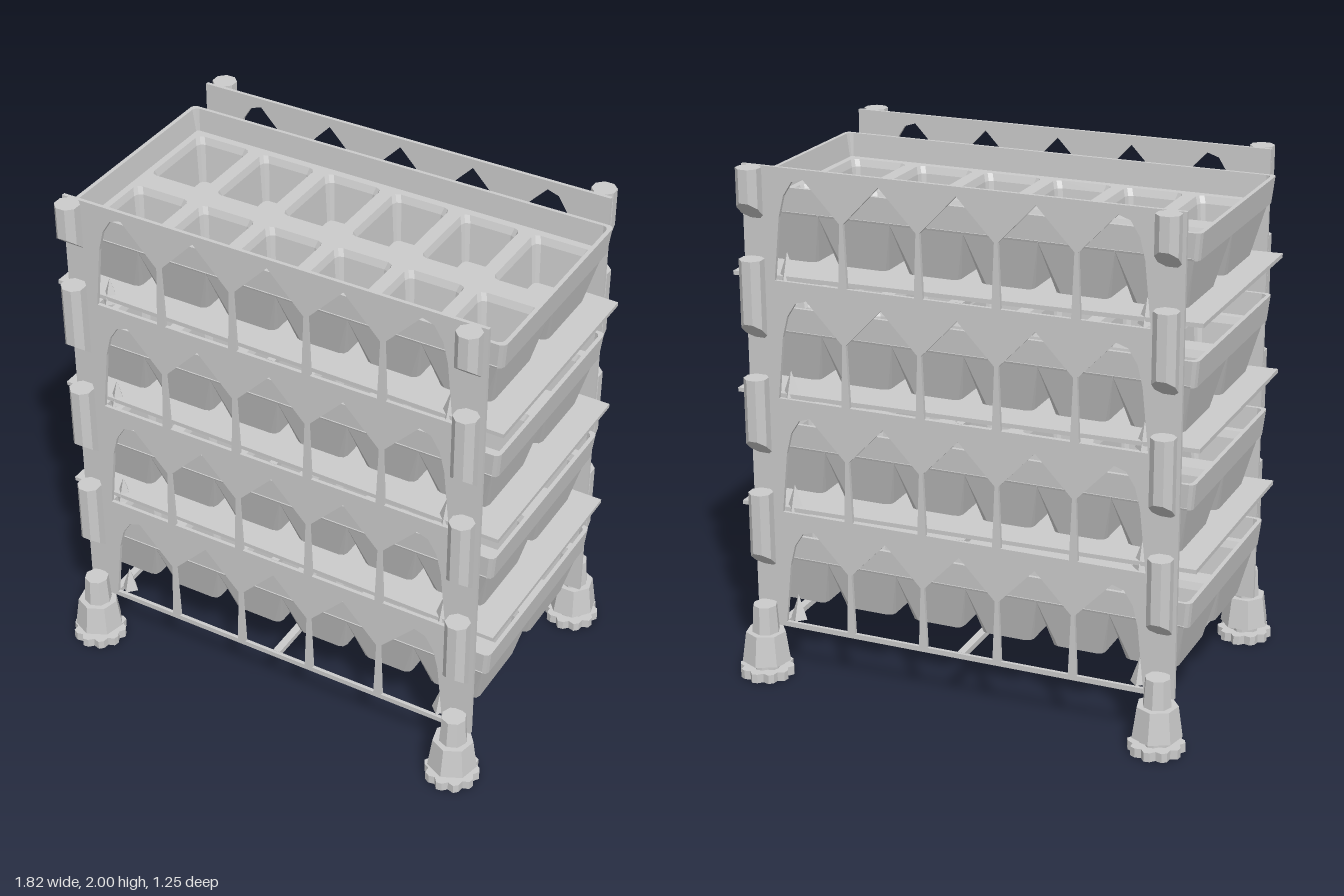
import * as THREE from 'three';

const mat = new THREE.MeshStandardMaterial({ color: 0xcccccc, flatShading: true });
const PITCH = 0.455, BASE = 0.2, TIERS = 4;
const POST_X = 0.795, POST_Z = 0.52;

function add(parent, name, geo, x = 0, y = 0, z = 0) {
  const m = new THREE.Mesh(geo, mat);
  m.name = name;
  m.position.set(x, y, z);
  parent.add(m);
  return m;
}

function group(parent, name) {
  const g = new THREE.Group();
  g.name = name;
  parent.add(g);
  return g;
}

// Rounded rectangle outline, three points per corner
function outline(hx, hz, r) {
  const pts = [];
  for (let c = 0; c < 4; c++) {
    const sx = c === 0 || c === 3 ? 1 : -1, sz = c < 2 ? 1 : -1;
    for (let k = 0; k < 3; k++) {
      const a = (c + k / 2) * Math.PI / 2;
      pts.push(new THREE.Vector2(sx * (hx - r) + r * Math.cos(a), sz * (hz - r) + r * Math.sin(a)));
    }
  }
  return pts;
}

// Skin through rings given as [halfX, halfZ, cornerRadius, y]
function loft(rings) {
  const rows = rings.map(([hx, hz, r, y]) => outline(hx, hz, r).map(p => [p.x, y, p.y]));
  const pos = [];
  for (let k = 0; k < rows.length - 1; k++) {
    const n = rows[k].length;
    for (let j = 0; j < n; j++) {
      const a = rows[k][j], b = rows[k][(j + 1) % n];
      const d = rows[k + 1][j], c = rows[k + 1][(j + 1) % n];
      pos.push(...a, ...d, ...c, ...a, ...c, ...b);
    }
  }
  const g = new THREE.BufferGeometry();
  g.setAttribute('position', new THREE.Float32BufferAttribute(pos, 3));
  g.computeVertexNormals();
  return g;
}

// Tray: raised rim around two rows of six tapered cups
const rimGeo = loft([
  [0.855, 0.42, 0.01, 0.45], [0.872, 0.422, 0.02, 0.45], [0.882, 0.43, 0.02, 0.55],
  [0.866, 0.416, 0.02, 0.55], [0.855, 0.41, 0.01, 0.455],
]);
const cupGeo = loft([
  [0, 0, 0, 0.26], [0.102, 0.158, 0.025, 0.26], [0.1425, 0.212, 0.002, 0.45],
  [0.1425, 0.215, 0.002, 0.458], [0.116, 0.167, 0.025, 0.458],
  [0.107, 0.157, 0.025, 0.43], [0.094, 0.143, 0.02, 0.275], [0, 0, 0, 0.275],
]);

function addTray(parent, y) {
  const tray = group(parent, 'tray');
  tray.position.y = y;
  add(tray, 'trayRim', rimGeo);
  for (let i = 0; i < 6; i++) {
    for (const s of [-1, 1]) add(tray, 'trayCup', cupGeo, (i - 2.5) * 0.285, 0, s * 0.2125);
  }
}

// Long side panel: zigzag bands and thin struts cut from one sheet
function panelGeometry() {
  const poly = pts => pts.map(p => new THREE.Vector2(p[0], p[1]));
  const shape = new THREE.Shape(poly([[-0.845, 0.19], [0.845, 0.19], [0.845, 2], [-0.845, 2]]));
  for (let t = 0; t < TIERS; t++) {
    const b = BASE + t * PITCH;
    for (let c = -1; c <= 1; c++) {
      const x = c * 0.3;
      shape.holes.push(new THREE.Path(poly([
        [x - 0.133, b + 0.01], [x + 0.133, b + 0.01], [x + 0.143, b + 0.25],
        [x, b + 0.4], [x - 0.143, b + 0.25],
      ])));
    }
    for (const s of [-1, 1]) {
      shape.holes.push(new THREE.Path(poly([
        [s * 0.467, b + 0.01], [s * 0.725, b + 0.01], [s * 0.7, b + 0.25], [s * 0.68, b + 0.33],
        [s * 0.645, b + 0.385], [s * 0.6, b + 0.4], [s * 0.457, b + 0.25],
      ])));
    }
  }
  const g = new THREE.ExtrudeGeometry(shape, { depth: 0.014, bevelEnabled: false });
  g.translate(0, 0, -0.007);
  return g;
}

// Post block whose bottom is cut at a slant, rising away from the panel
function postGeometry(bottom, top) {
  const g = new THREE.CylinderGeometry(0.047, 0.047, 1, 8, 1);
  g.rotateY(Math.PI / 8);
  const p = g.attributes.position;
  for (let i = 0; i < p.count; i++) {
    p.setY(i, p.getY(i) > 0 ? top : bottom + (p.getZ(i) + 0.045) * 0.85);
  }
  return g;
}

// Ragged rosette for the foot pad
function rosetteGeometry(r, depth, teeth) {
  const pts = [];
  for (let i = 0; i < teeth * 3; i++) {
    const a = i / (teeth * 3) * Math.PI * 2;
    const d = r * [0.84, 1, 0.97][i % 3];
    pts.push(new THREE.Vector2(Math.cos(a) * d, Math.sin(a) * d));
  }
  const g = new THREE.ExtrudeGeometry(new THREE.Shape(pts), { depth, bevelEnabled: false });
  g.rotateX(-Math.PI / 2);
  return g;
}

export function createModel() {
  const model = new THREE.Group();
  model.name = 'trayRack';

  // Front and back panels
  const panelGeo = panelGeometry();
  add(model, 'frontPanel', panelGeo, 0, 0, 0.472);
  add(model, 'backPanel', panelGeo, 0, 0, -0.472);

  // Tiers: cross bars, corner gussets, shelf plate and tray
  const barGeo = new THREE.BoxGeometry(0.03, 0.022, 0.935);
  const gussetGeo = new THREE.ConeGeometry(0.035, 0.1, 4);
  const shelfGeo = new THREE.BoxGeometry(1.815, 0.016, 0.92);
  for (let t = 0; t < TIERS; t++) {
    const b = BASE + t * PITCH;
    const tier = group(model, 'tier');
    for (const x of [-0.74, 0, 0.74]) add(tier, 'crossBar', barGeo, x, b, 0);
    for (const s of [-1, 1]) {
      for (const z of [-1, 1]) add(tier, 'gusset', gussetGeo, s * 0.695, b + 0.06, z * 0.435);
    }
    if (t > 0) add(tier, 'shelf', shelfGeo, 0, b + 0.026, 0).rotation.z = -0.014;
    addTray(tier, t * PITCH);
  }

  // Corner posts and feet
  const postGeos = [];
  for (let t = 0; t < TIERS; t++) {
    const bottom = 0.435 + t * PITCH;
    postGeos.push(postGeometry(bottom, Math.min(2, bottom + 0.315)));
  }
  const stemGeo = new THREE.CylinderGeometry(0.047, 0.055, 0.12, 8);
  const blockGeo = new THREE.CylinderGeometry(0.078, 0.095, 0.12, 7);
  const neckGeo = rosetteGeometry(0.065, 0.028, 6);
  const padGeo = rosetteGeometry(0.106, 0.036, 10);
  for (const sx of [-1, 1]) {
    for (const sz of [-1, 1]) {
      const corner = group(model, 'cornerPost');
      corner.position.set(sx * POST_X, 0, sz * POST_Z);
      if (sz < 0) corner.rotation.y = Math.PI;
      for (const g of postGeos) add(corner, 'postBlock', g);
      add(corner, 'footStem', stemGeo, 0, 0.23, 0);
      add(corner, 'footBlock', blockGeo, 0, 0.12, 0);
      add(corner, 'footNeck', neckGeo, 0, 0.034, 0);
      add(corner, 'footPad', padGeo);
    }
  }
  return model;
}
